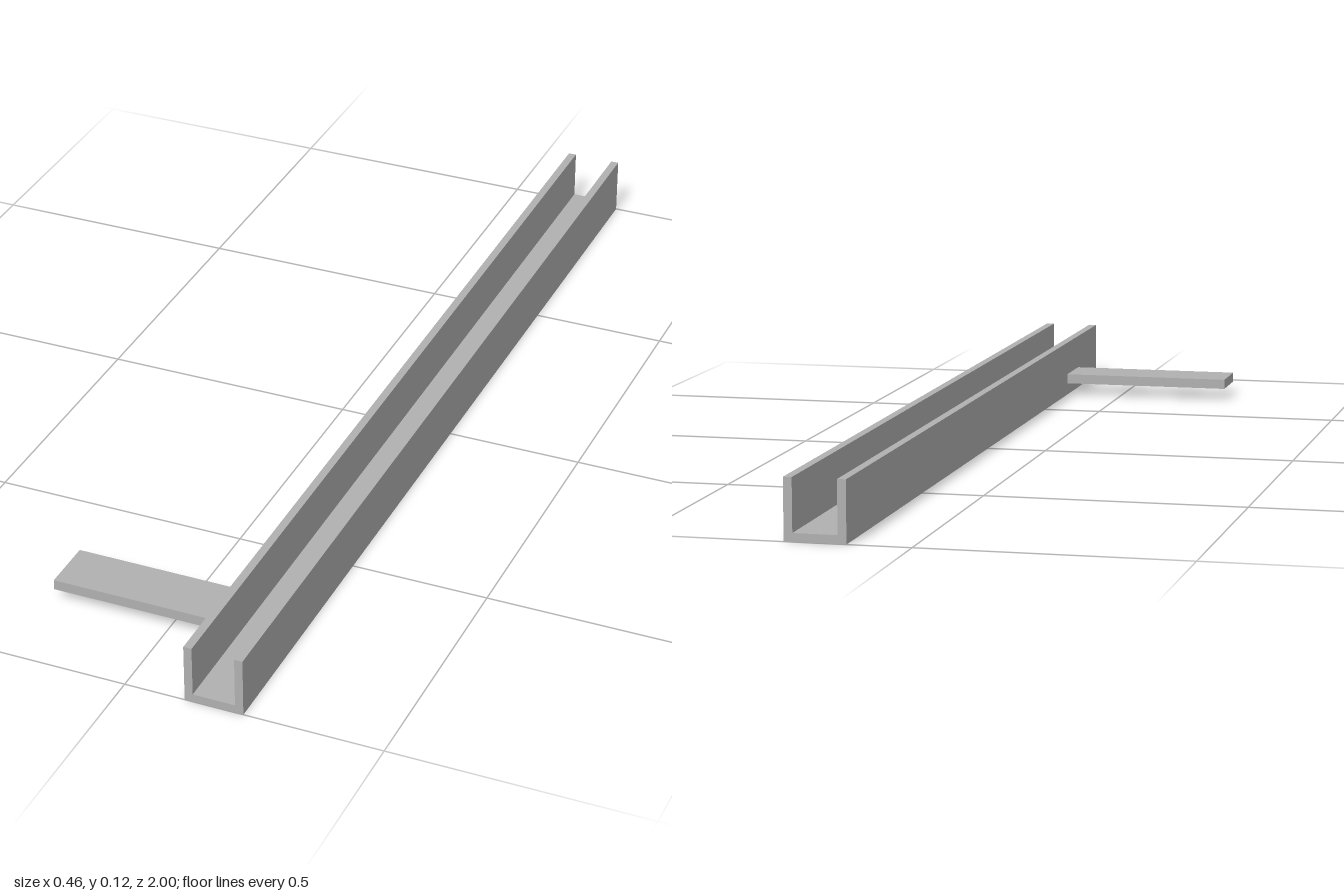
import * as THREE from 'three';

export function createModel() {
  const group = new THREE.Group();
  const grey = new THREE.MeshStandardMaterial({ color: 0xb0b0b0 });
  grey.name = 'plain grey';

  // U-shaped channel: cross-section extruded along z
  const left = 0.232, right = 0.118, height = 0.115, wall = 0.016;
  const section = new THREE.Shape([
    [right, 0], [left, 0], [left, height], [left - wall, height],
    [left - wall, wall], [right + wall, wall], [right + wall, height], [right, height],
  ].map(([x, y]) => new THREE.Vector2(x, y)));
  const channelGeometry = new THREE.ExtrudeGeometry(section, { depth: 2, bevelEnabled: false });
  channelGeometry.translate(0, 0, -1);
  const channel = new THREE.Mesh(channelGeometry, grey);
  channel.name = 'channel';
  group.add(channel);

  // Flat arm butting against the channel's outer wall near the front
  const arm = new THREE.Mesh(new THREE.BoxGeometry(0.35, 0.02, 0.107), grey);
  arm.position.set(-0.057, 0.035, 0.763);
  arm.name = 'sideArm';
  group.add(arm);

  return group;
}
